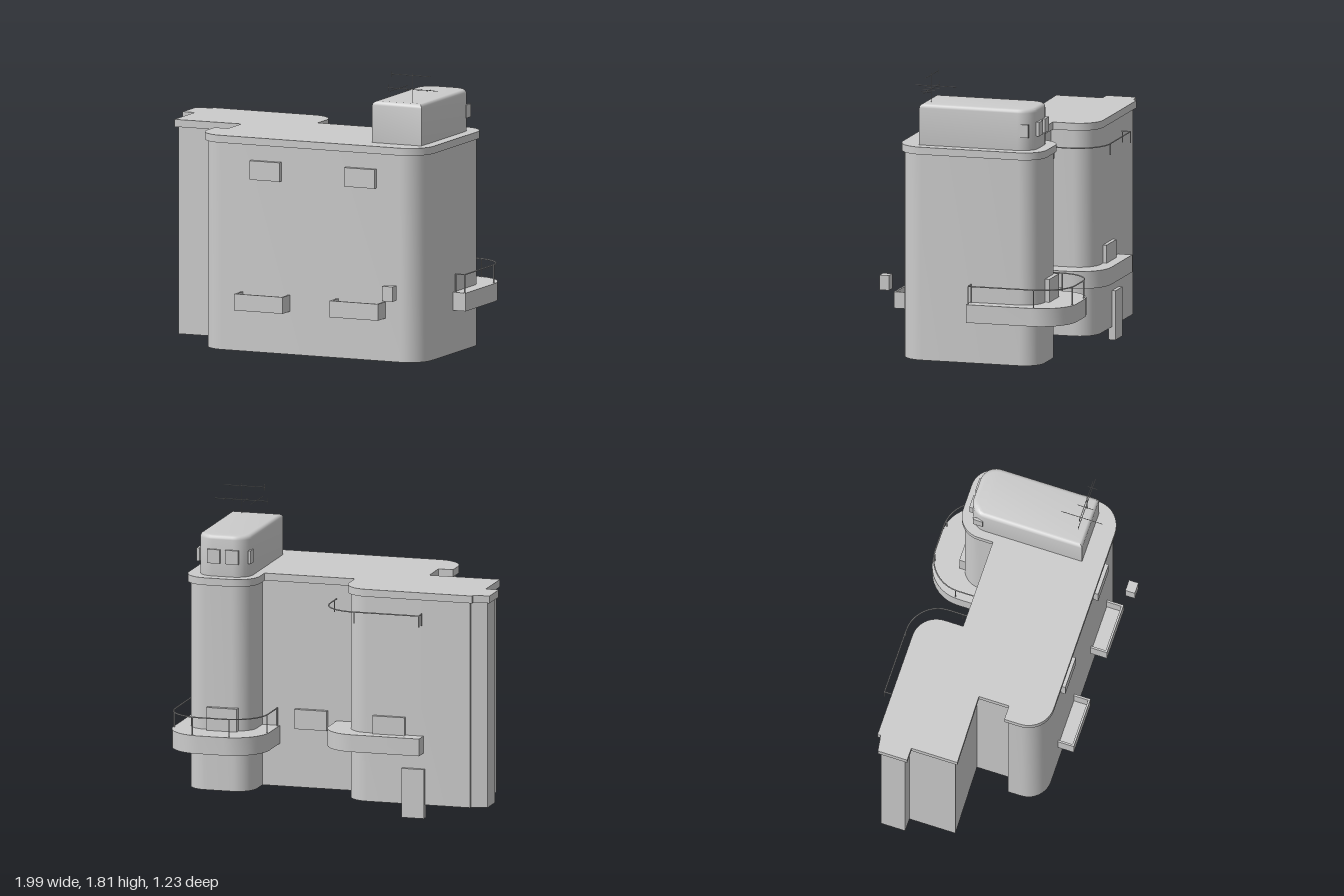
import * as THREE from 'three';
import { toCreasedNormals } from 'three/addons/utils/BufferGeometryUtils.js';

const material = new THREE.MeshStandardMaterial({ color: 0xcccccc });

// Rounds the corners of an [x, z, radius] polyline and returns [x, z] points.
function rounded(points, closed = true) {
  const out = [];
  const n = points.length;
  points.forEach(([x, z, r = 0], i) => {
    if (r <= 0 || (!closed && (i === 0 || i === n - 1))) return out.push([x, z]);
    const toward = ([qx, qz]) => new THREE.Vector2(qx - x, qz - z).normalize();
    const u = toward(points[(i + n - 1) % n]);
    const v = toward(points[(i + 1) % n]);
    for (let k = 0; k <= 10; k++) {
      const t = (k / 10) * Math.PI / 2;
      const a = r * (1 - Math.sin(t)), b = r * (1 - Math.cos(t));
      out.push([x + u.x * a + v.x * b, z + u.y * a + v.y * b]);
    }
  });
  return out;
}

// Moves every side of a closed outline inwards by d.
function inset(points, d) {
  const n = points.length;
  const normal = (p, q) => new THREE.Vector2(q[1] - p[1], p[0] - q[0]).normalize();
  return points.map((p, i) => {
    const a = normal(points[(i + n - 1) % n], p);
    const b = normal(p, points[(i + 1) % n]);
    const k = d / (1 + a.dot(b));
    return [p[0] + (a.x + b.x) * k, p[1] + (a.y + b.y) * k, p[2] ? p[2] - d : 0];
  });
}

function add(parent, name, geometry) {
  const mesh = new THREE.Mesh(geometry, material);
  mesh.name = name;
  parent.add(mesh);
  return mesh;
}

// Upright prism over a floor outline.
function prism(parent, name, outline, y0, y1, bevel = 0) {
  const shape = new THREE.Shape(rounded(outline).map(([x, z]) => new THREE.Vector2(x, -z)));
  const geometry = new THREE.ExtrudeGeometry(shape, {
    depth: y1 - y0 - 2 * bevel, bevelEnabled: bevel > 0, bevelSize: bevel,
    bevelThickness: bevel, bevelOffset: -bevel, bevelSegments: 4,
  });
  geometry.rotateX(-Math.PI / 2).translate(0, y0 + bevel, 0);
  return add(parent, name, toCreasedNormals(geometry, 0.6));
}

function box(parent, name, x0, x1, y0, y1, z0, z1) {
  const geometry = new THREE.BoxGeometry(x1 - x0, y1 - y0, z1 - z0);
  geometry.translate((x0 + x1) / 2, (y0 + y1) / 2, (z0 + z1) / 2);
  return add(parent, name, geometry);
}

function rod(parent, name, from, to, r) {
  const a = new THREE.Vector3(...from), b = new THREE.Vector3(...to);
  const mesh = add(parent, name, new THREE.CylinderGeometry(r, r, a.distanceTo(b), 6));
  mesh.position.copy(a).lerp(b, 0.5);
  mesh.quaternion.setFromUnitVectors(new THREE.Vector3(0, 1, 0), b.sub(a).normalize());
}

// Handrail along a rounded path, with posts between the rail and postY.
function railing(parent, name, path, y, postY, posts) {
  const group = new THREE.Group();
  group.name = name;
  parent.add(group);
  const curve = new THREE.CurvePath();
  const pts = rounded(path, false).map(([x, z]) => new THREE.Vector3(x, y, z));
  for (let i = 1; i < pts.length; i++) curve.add(new THREE.LineCurve3(pts[i - 1], pts[i]));
  add(group, 'handrail', new THREE.TubeGeometry(curve, 90, 0.004, 6));
  posts.forEach(([x, z]) => rod(group, 'post', [x, y, z], [x, postY, z], 0.004));
}

export function createModel() {
  const model = new THREE.Group();
  model.name = 'building';

  // Main block and overhanging roof slab
  const roof = [
    [-0.57, 0.22], [-0.57, 0.48, 0.16], [0.925, 0.475, 0.16], [0.925, -0.435, 0.14],
    [0.48, -0.435, 0.14], [0.48, -0.2], [-0.085, -0.2], [-0.085, -0.47, 0.15],
    [-0.9, -0.47], [-0.9, -0.45], [-1, -0.435], [-1, -0.25],
    [-0.92, -0.25], [-0.92, 0.04], [-0.48, 0.03], [-0.48, 0.22],
  ];
  prism(model, 'walls', inset(roof, 0.018), 0.08, 1.34);
  prism(model, 'roofSlab', roof, 1.335, 1.38);

  // Rooftop room: square front corners, rounded back corners
  prism(model, 'rooftopRoom', [
    [0.53, 0.345], [0.855, 0.345], [0.855, -0.37, 0.1], [0.53, -0.37, 0.1],
  ], 1.3, 1.63, 0.025);
  for (const x of [0.63, 0.745]) box(model, 'rooftopWindow', x - 0.04, x + 0.04, 1.46, 1.545, -0.385, -0.36);
  box(model, 'rooftopSideWindow', 0.845, 0.862, 1.46, 1.54, -0.34, -0.28);
  box(model, 'rooftopSideWindow', 0.524, 0.54, 1.46, 1.54, -0.34, -0.28);

  // Balcony wrapped around the left rear tower
  prism(model, 'towerBalcony', [
    [0.39, -0.17], [0.7, -0.17], [0.7, 0.01], [0.99, 0.01],
    [0.99, -0.615, 0.22], [0.39, -0.615, 0.22],
  ], 0.34, 0.45);
  railing(model, 'balconyRailing', [
    [0.92, 0], [0.98, 0], [0.98, -0.605, 0.21], [0.4, -0.605, 0.21], [0.4, -0.2],
  ], 0.56, 0.44, [
    [0.92, 0], [0.98, 0], [0.98, -0.41], [0.81, -0.6], [0.58, -0.6], [0.4, -0.41], [0.4, -0.2],
  ]);

  // Balcony of the right rear tower, with the high rail above it
  prism(model, 'rearBalcony', [
    [-0.59, -0.4], [-0.3, -0.4], [-0.3, -0.17], [0.035, -0.17], [0.035, -0.54, 0.2], [-0.59, -0.54],
  ], 0.395, 0.5);
  railing(model, 'highRail', [
    [-0.585, -0.47], [-0.585, -0.53], [0.03, -0.53, 0.2], [0.03, -0.2],
  ], 1.25, 1.18, [[-0.585, -0.48], [-0.585, -0.53], [-0.18, -0.53], [0.03, -0.24]]);

  // Rear windows and door
  box(model, 'towerWindow', 0.58, 0.77, 0.45, 0.59, -0.445, -0.4);
  box(model, 'recessWindow', 0.09, 0.29, 0.44, 0.56, -0.21, -0.17);
  box(model, 'rearWindow', -0.48, -0.28, 0.49, 0.61, -0.475, -0.43);
  box(model, 'rearDoor', -0.6, -0.46, 0, 0.3, -0.475, -0.43);

  // Front windows and open planter balconies
  for (const x of [-0.115, 0.51]) {
    box(model, 'frontWindow', x - 0.1, x + 0.1, 1.125, 1.24, 0.44, 0.487);
  }
  for (const x of [-0.12, 0.51]) {
    const planter = new THREE.Group();
    planter.name = 'frontBalcony';
    model.add(planter);
    box(planter, 'frontPanel', x - 0.16, x + 0.16, 0.34, 0.44, 0.55, 0.562);
    box(planter, 'floor', x - 0.16, x + 0.16, 0.34, 0.352, 0.45, 0.56);
    for (const s of [-1, 1]) {
      box(planter, 'sidePanel', x + s * 0.154 - 0.006, x + s * 0.154 + 0.006, 0.34, 0.44, 0.45, 0.56);
    }
  }
  box(model, 'smallBox', 0.72, 0.79, 0.47, 0.56, 0.555, 0.615);

  // Antenna
  const antenna = new THREE.Group();
  antenna.name = 'antenna';
  model.add(antenna);
  const r = 0.002, z = 0.295;
  rod(antenna, 'mast', [0.775, 1.62, z], [0.775, 1.81, z], r);
  rod(antenna, 'lowerBoom', [0.61, 1.71, z], [0.94, 1.71, z], r);
  rod(antenna, 'upperBoom', [0.63, 1.795, z], [0.89, 1.795, z], r);
  for (const [x, half] of [[0.68, 0.13], [0.75, 0.05], [0.82, 0.04], [0.88, 0.03]]) {
    rod(antenna, 'element', [x, 1.71, z - half], [x, 1.71, z + half], r);
  }
  rod(antenna, 'endTick', [0.612, 1.69, z], [0.612, 1.73, z], r);
  rod(antenna, 'endTick', [0.632, 1.775, z], [0.632, 1.81, z], r);
  return model;
}
